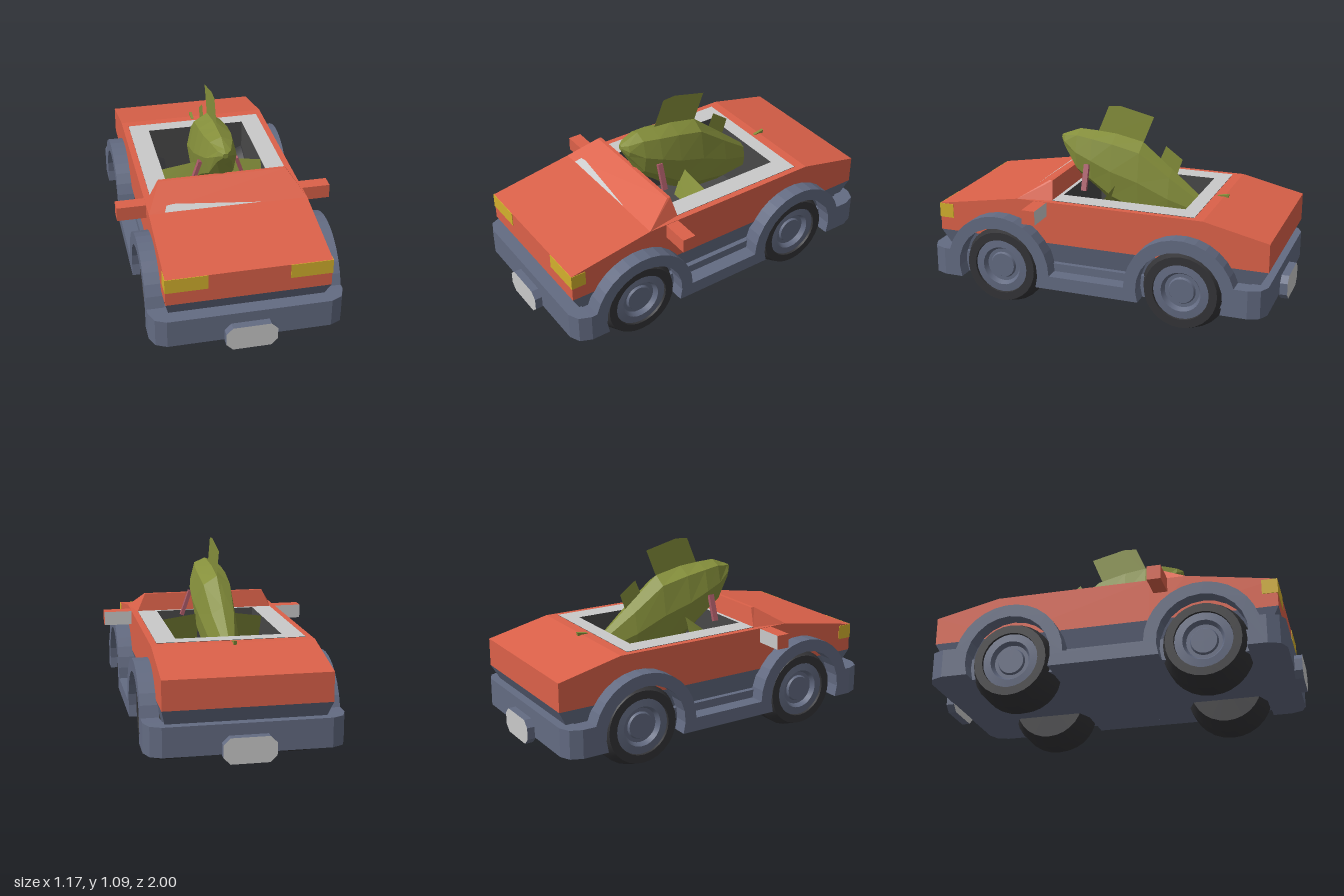
import * as THREE from 'three';
import { toCreasedNormals } from 'three/addons/utils/BufferGeometryUtils.js';

const mat = (name, color, side = THREE.FrontSide) =>
  Object.assign(new THREE.MeshStandardMaterial({ color, side }), { name });

export function createModel() {
  const red = mat('red paint', 0xdb6149);
  const slate = mat('slate plastic', 0x636b82);
  const light = mat('light grey', 0xc9c9c9);
  const dark = mat('dark interior', 0x484848);
  const rubber = mat('tyre rubber', 0x343437);
  const yellow = mat('headlight yellow', 0xd3b02d);
  const green = mat('fish green', 0x858f3b, THREE.DoubleSide);
  const pink = mat('gill pink', 0xa85a66);

  const model = new THREE.Group();
  model.name = 'fishCar';
  const add = (name, geo, material, parent = model) => {
    const m = new THREE.Mesh(geo, material);
    m.name = name;
    parent.add(m);
    return m;
  };
  const box = (x0, x1, y0, y1, z0, z1) =>
    new THREE.BoxGeometry(x1 - x0, y1 - y0, z1 - z0)
      .translate((x0 + x1) / 2, (y0 + y1) / 2, (z0 + z1) / 2);
  const shapeOf = pts => new THREE.Shape(pts.map(p => new THREE.Vector2(...p)));
  const extrude = (shape, depth) =>
    new THREE.ExtrudeGeometry(shape, { depth, bevelEnabled: false });
  // profile in (z, y), pushed along x
  const sideExtrude = (pts, x0, x1) =>
    extrude(shapeOf(pts), x1 - x0).rotateY(-Math.PI / 2).translate(x1, 0, 0);
  // outline in (x, z), pushed along y
  const planExtrude = (shape, y0, y1) =>
    extrude(shape, y1 - y0).rotateX(Math.PI / 2).translate(0, y1, 0);
  const rect = (P, x, z0, z1) =>
    new P([[-x, z0], [x, z0], [x, z1], [-x, z1]].map(p => new THREE.Vector2(...p)));

  const wheelZ = [-0.5, 0.54], axleY = 0.235;
  const arc = (zc, r, a0, a1, n = 14) => Array.from({ length: n + 1 }, (_, i) => {
    const a = a0 + (a1 - a0) * i / n;
    return [zc + r * Math.cos(a), axleY + r * Math.sin(a)];
  });

  // Chassis, side skirts with wheel arches, bumpers
  add('chassis', box(-0.43, 0.43, 0.16, 0.28, -0.868, 0.868), slate);
  const skirt = [
    [-0.868, 0.16], [-0.868, 0.315],
    ...arc(wheelZ[0], 0.305, Math.PI - 0.265, 0),
    ...arc(wheelZ[1], 0.305, Math.PI, 0.265),
    [0.868, 0.315], [0.868, 0.16],
    ...arc(wheelZ[1], 0.237, -0.322, Math.PI + 0.322),
    ...arc(wheelZ[0], 0.237, -0.322, Math.PI + 0.322),
  ];
  add('leftSkirt', sideExtrude(skirt, 0.42, 0.513), slate);
  add('rightSkirt', sideExtrude(skirt, -0.513, -0.42), slate);

  const bumper = [[-0.513, 0.868], [-0.487, 0.931], [-0.43, 0.958],
    [0.43, 0.958], [0.487, 0.931], [0.513, 0.868]];
  const plate = [[-0.1, 0.12], [0.1, 0.12], [0.135, 0.155], [0.135, 0.22],
    [0.1, 0.255], [-0.1, 0.255], [-0.135, 0.22], [-0.135, 0.155]];
  for (const end of ['front', 'back']) {
    const g = new THREE.Group();
    g.name = end + 'Bumper';
    if (end === 'back') g.rotation.y = Math.PI;
    add('bumperBar', planExtrude(shapeOf(bumper), 0.16, 0.315), slate, g);
    add('bumperPlate', extrude(shapeOf(plate), 0.045).translate(0, 0, 0.955), [light, slate], g);
    model.add(g);
  }

  // Tapered lower body
  const lower = new THREE.CylinderGeometry(Math.SQRT2, Math.SQRT2 * 0.907, 0.16, 4, 1, true)
    .rotateY(Math.PI / 4).scale(0.43, 1, 0.94).translate(0, 0.315, -0.015);
  add('lowerBody', toCreasedNormals(lower, 0.3), slate);

  // Red upper body
  add('hood', sideExtrude([[0.25, 0.395], [0.925, 0.395], [0.925, 0.55],
    [0.45, 0.63], [0.25, 0.63]], -0.43, 0.43), red);
  add('trunk', sideExtrude([[-0.545, 0.395], [-0.545, 0.63], [-0.6, 0.63],
    [-0.955, 0.55], [-0.955, 0.395]], -0.43, 0.43), red);
  add('leftDoor', box(0.395, 0.43, 0.395, 0.63, -0.545, 0.25), red);
  add('rightDoor', box(-0.43, -0.395, 0.395, 0.63, -0.545, 0.25), red);

  // Cockpit rim with inner walls, and floor
  const rim = rect(THREE.Shape, 0.395, -0.545, 0.27);
  rim.holes.push(rect(THREE.Path, 0.285, -0.465, 0.235));
  add('cockpitRim', planExtrude(rim, 0.28, 0.632), [light, dark]);
  add('cockpitFloor', box(-0.29, 0.29, 0.27, 0.29, -0.47, 0.25), dark);

  // Windshield wedge: a box squeezed towards its top edge
  const shield = new THREE.BoxGeometry(2, 1, 1);
  const sp = shield.attributes.position;
  for (let i = 0; i < sp.count; i++) {
    const top = sp.getY(i) > 0, front = sp.getZ(i) > 0;
    sp.setXYZ(i, sp.getX(i) * (top ? 0.35 : front ? 0.43 : 0.395), top ? 0.73 : 0.63,
      top ? (front ? 0.29 : 0.27) : (front ? 0.45 : 0.255));
  }
  add('windshield', toCreasedNormals(shield, 0.1), red);
  // Pale glint lying on the windshield
  const glint = new THREE.BufferGeometry().setFromPoints(
    [[-0.345, 0.632], [0.18, 0.632], [-0.29, 0.656], [-0.33, 0.653]]
      .map(([x, y]) => new THREE.Vector3(x, y + 0.002, 0.45 - (y - 0.63) * 1.6 + 0.003)));
  glint.setIndex([0, 1, 2, 0, 2, 3]);
  glint.computeVertexNormals();
  add('windshieldGlint', glint, light);

  // Wheels
  const lathe = pts => toCreasedNormals(
    new THREE.LatheGeometry(pts.map(p => new THREE.Vector2(...p)), 28), 0.35).rotateZ(-Math.PI / 2);
  const tyreGeo = lathe([[0, 0.197], [0.2, 0.197], [0.235, 0.28], [0.235, 0.39],
    [0.2, 0.475], [0.155, 0.475], [0.15, 0.44]]);
  const hubGeo = lathe([[0.157, 0.462], [0.11, 0.466], [0.095, 0.44], [0.075, 0.44],
    [0.068, 0.452], [0, 0.452]]);

  for (const s of [1, -1]) {
    const side = s > 0 ? 'left' : 'right';
    const span = (a, b) => s > 0 ? [a, b] : [-b, -a];
    for (const z of wheelZ) {
      const wheel = new THREE.Group();
      wheel.name = side + (z > 0 ? 'Front' : 'Back') + 'Wheel';
      wheel.position.set(0, axleY, z);
      if (s < 0) wheel.rotation.y = Math.PI;
      add('tyre', tyreGeo, rubber, wheel);
      add('hub', hubGeo, slate, wheel);
      model.add(wheel);
    }
    // Headlights wrap round the corner
    add(side + 'Headlight', box(...span(0.212, 0.432), 0.47, 0.55, 0.922, 0.928), yellow);
    add(side + 'HeadlightSide', box(...span(0.427, 0.433), 0.47, 0.55, 0.845, 0.928), yellow);
    // Door mirror, pale on its back face
    add(side + 'Mirror', box(...span(0.41, 0.587), 0.55, 0.628, 0.275, 0.35),
      [red, red, red, red, red, light]);
    // Gill flap and side fin of the fish
    const gill = add(side + 'Gill', new THREE.BoxGeometry(0.02, 0.15, 0.03), pink);
    gill.position.set(s * 0.125, 0.69, 0.17);
    gill.rotation.z = s * 0.33;
    const fin = new THREE.BufferGeometry().setFromPoints(
      [[0.08, 0.66, 0], [0.08, 0.5, 0.06], [0.29, 0.5, 0.06], [0.29, 0.63, 0]]
        .map(([x, y, z]) => new THREE.Vector3(s * x, y, z)));
    fin.setIndex(s > 0 ? [0, 1, 2, 0, 2, 3] : [0, 2, 1, 0, 3, 2]);
    fin.computeVertexNormals();
    add(side + 'Fin', fin, green);
  }

  // Fish body: cross-sections [z, top, bottom, half width] from nose to tail
  const rings = [[0.355, 0.895, 0.865, 0.015], [0.326, 0.907, 0.815, 0.05],
    [0.246, 0.938, 0.67, 0.085], [0.15, 0.935, 0.6, 0.105], [0.03, 0.926, 0.5, 0.11],
    [-0.128, 0.893, 0.43, 0.103], [-0.3, 0.752, 0.42, 0.085],
    [-0.46, 0.618, 0.44, 0.045], [-0.58, 0.54, 0.49, 0.015]];
  const around = [[0, 1], [0.72, 0.8], [1, 0.1], [0.8, -0.6], [0, -1],
    [-0.8, -0.6], [-1, 0.1], [-0.72, 0.8]];
  const pos = [], idx = [], n = around.length;
  rings.forEach(([z, t, b, w], i) => {
    for (const [u, v] of around) pos.push(u * w, (t + b) / 2 + v * (t - b) / 2, z);
    if (i) for (let j = 0; j < n; j++) {
      const a = (i - 1) * n + j, c = (i - 1) * n + (j + 1) % n;
      idx.push(a, c, a + n, c, c + n, a + n);
    }
  });
  for (let j = 1; j < n - 1; j++) idx.push(0, j + 1, j);
  const fish = new THREE.BufferGeometry();
  fish.setAttribute('position', new THREE.Float32BufferAttribute(pos, 3));
  fish.setIndex(idx);
  const flatFish = fish.toNonIndexed();
  flatFish.computeVertexNormals();
  add('fishBody', flatFish, green);

  // Flat fins on the centre line, outlines in (z, y)
  const fins = {
    backFin: [[0.15, 0.9], [0.075, 1.08], [0, 1.085], [-0.19, 1.04], [-0.118, 0.86]],
    smallFin: [[-0.215, 0.77], [-0.262, 0.882], [-0.358, 0.813], [-0.32, 0.7]],
  };
  for (const [name, pts] of Object.entries(fins))
    add(name, new THREE.ShapeGeometry(shapeOf(pts)).rotateY(-Math.PI / 2), green);
  add('tailFin', sideExtrude([[-0.5, 0.5], [-0.565, 0.633], [-0.628, 0.645], [-0.6, 0.5]],
    -0.008, 0.008), green);

  return model;
}
